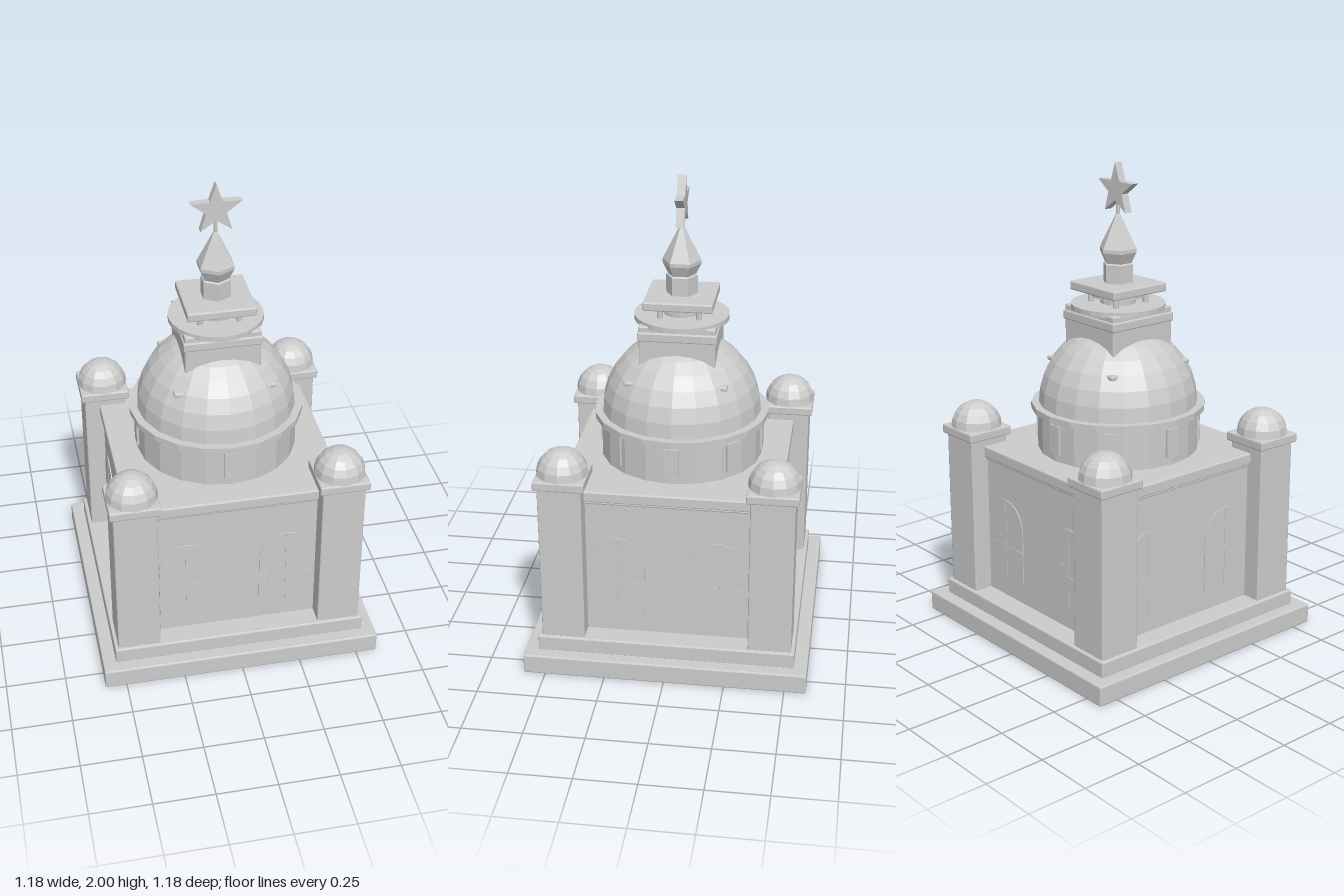
import * as THREE from 'three';
import { RoundedBoxGeometry } from 'three/addons/geometries/RoundedBoxGeometry.js';

export function createModel() {
  const model = new THREE.Group();
  model.name = 'domedPavilion';
  const stone = new THREE.MeshStandardMaterial({ color: 0xcccccc, flatShading: true });
  stone.name = 'stone';

  const add = (parent, name, geometry, x = 0, y = 0, z = 0) => {
    const mesh = new THREE.Mesh(geometry, stone);
    mesh.name = name;
    mesh.position.set(x, y, z);
    parent.add(mesh);
    return mesh;
  };
  // Square block with slightly softened edges, from y0 to y1
  const block = (name, half, y0, y1, x = 0, z = 0) =>
    add(model, name, new RoundedBoxGeometry(half * 2, y1 - y0, half * 2, 1, 0.006), x, (y0 + y1) / 2, z);
  const drum = (name, r, y0, y1, sides = 20, x = 0, z = 0) =>
    add(model, name, new THREE.CylinderGeometry(r, r, y1 - y0, sides), x, (y0 + y1) / 2, z);
  const halfDome = (name, r, sides, rows, x, y, z) =>
    add(model, name, new THREE.SphereGeometry(r, sides, rows, 0, Math.PI * 2, 0, Math.PI / 2), x, y, z);

  // Plinth, hall and cornice
  block('plinth', 0.59, 0, 0.085);
  block('step', 0.535, 0.08, 0.15);
  block('hall', 0.44, 0.14, 0.78);
  block('corniceLower', 0.448, 0.74, 0.755);
  block('cornice', 0.455, 0.752, 0.8);

  // Corner towers
  for (const sx of [-1, 1]) for (const sz of [-1, 1]) {
    const x = sx * 0.43, z = sz * 0.43;
    block('cornerTower', 0.09, 0.145, 0.84, x, z);
    block('cornerCap', 0.105, 0.83, 0.87, x, z);
    halfDome('cornerDome', 0.108, 12, 5, x, 0.87, z);
  }

  // Arched windows, two on each wall
  const arch = new THREE.Shape();
  arch.moveTo(-0.115, 0.23);
  arch.lineTo(0.115, 0.23);
  arch.lineTo(0.115, 0.475);
  arch.absarc(0, 0.475, 0.115, 0, Math.PI, false);
  arch.closePath();
  const archGeometry = new THREE.ExtrudeGeometry(arch, { depth: 0.008, bevelEnabled: false, curveSegments: 12 });
  for (let side = 0; side < 4; side++) {
    const wall = new THREE.Group();
    wall.name = 'windowWall';
    wall.rotation.y = side * Math.PI / 2;
    model.add(wall);
    for (const x of [-0.213, 0.213]) {
      add(wall, 'archedWindow', archGeometry, x, 0, 0.436);
      add(wall, 'mullion', new THREE.BoxGeometry(0.006, 0.355, 0.004), x, 0.408, 0.444);
      add(wall, 'transom', new THREE.BoxGeometry(0.226, 0.006, 0.004), x, 0.38, 0.444);
      const bar = add(wall, 'slantedBar', new THREE.BoxGeometry(0.03, 0.13, 0.004), x - 0.055, 0.365, 0.444);
      bar.rotation.z = -0.3;
    }
  }

  // Drum with eight panels, ring and main dome
  drum('drum', 0.34, 0.79, 0.98);
  for (let i = 0; i < 8; i++) {
    const a = i * Math.PI / 4;
    const panel = add(model, 'drumPanel', new THREE.BoxGeometry(0.06, 0.125, 0.012),
      Math.sin(a) * 0.339, 0.893, Math.cos(a) * 0.339);
    panel.rotation.y = a;
  }
  drum('domeRing', 0.367, 0.972, 0.998);
  halfDome('mainDome', 0.335, 20, 8, 0, 0.995, 0);

  // Square collar whose corners emerge from the dome
  block('collar', 0.2, 1.1, 1.17);
  block('collarTop', 0.212, 1.165, 1.185);

  // Lantern
  block('lanternBody', 0.157, 1.18, 1.41);
  block('lanternBand', 0.163, 1.345, 1.385);
  drum('lanternDisc', 0.197, 1.4, 1.422, 24);
  drum('lanternCore', 0.075, 1.42, 1.46, 16);
  for (const sx of [-1, 1]) for (const sz of [-1, 1])
    drum('lanternPost', 0.012, 1.42, 1.46, 8, sx * 0.08, sz * 0.08);
  drum('lanternRing', 0.11, 1.45, 1.472, 20);
  block('topSlab', 0.142, 1.47, 1.508);

  // Hexagonal spire
  const profile = [[0, 1.5], [0.065, 1.5], [0.065, 1.585], [0.058, 1.59], [0.08, 1.635],
    [0.08, 1.65], [0.012, 1.785], [0, 1.8]].map(([r, y]) => new THREE.Vector2(r, y));
  add(model, 'spire', new THREE.LatheGeometry(profile, 6));
  drum('starRod', 0.008, 1.78, 1.86, 8);

  // Five-pointed star
  const star = new THREE.Shape();
  for (let i = 0; i < 10; i++) {
    const r = i % 2 ? 0.044 : 0.11, a = Math.PI / 2 + i * Math.PI / 5;
    star[i ? 'lineTo' : 'moveTo'](Math.cos(a) * r, Math.sin(a) * r);
  }
  star.closePath();
  add(model, 'star', new THREE.ExtrudeGeometry(star, { depth: 0.034, bevelEnabled: false }), 0, 1.89, -0.017);

  return model;
}
